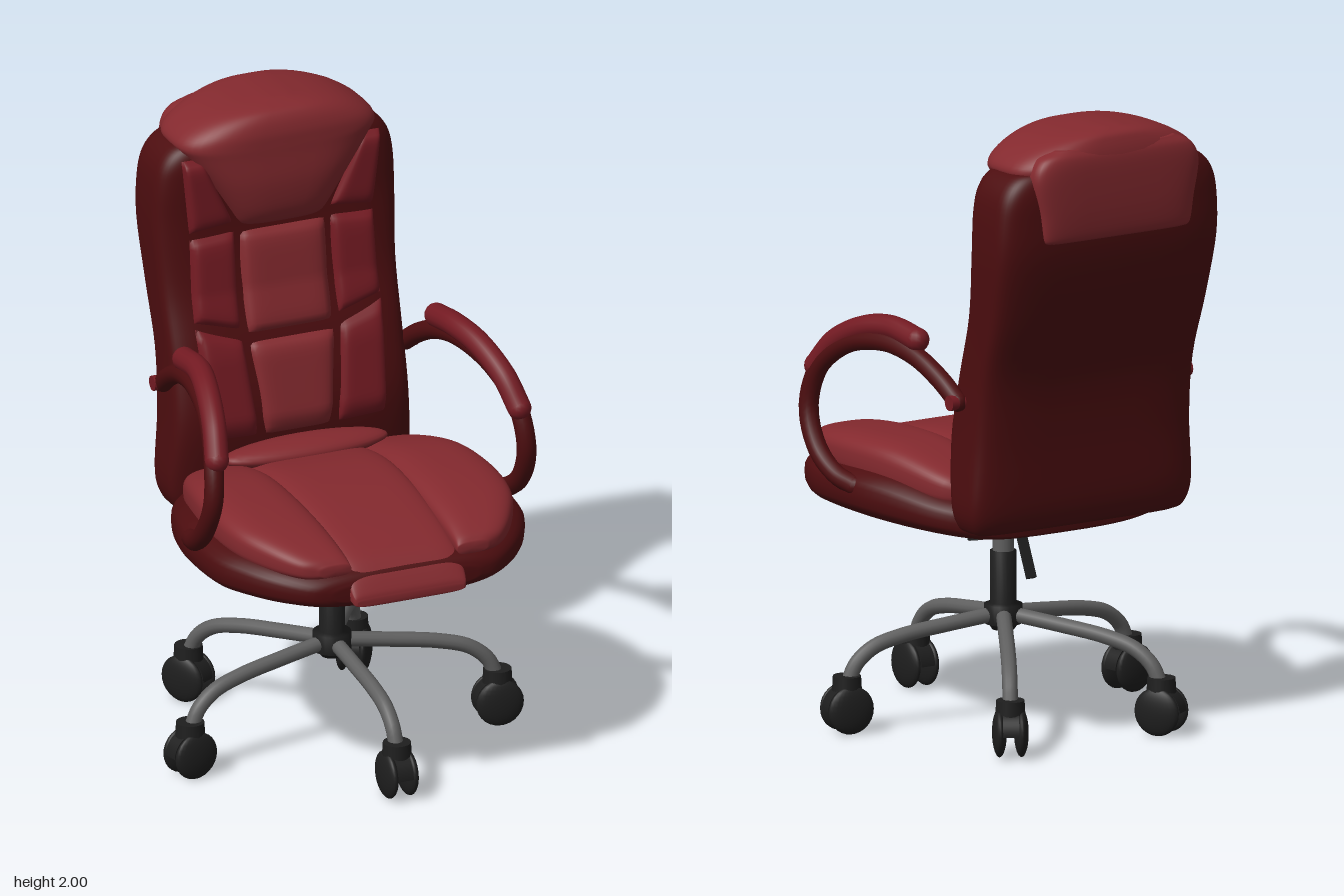
import * as THREE from 'three';

const mat = (color) => new THREE.MeshStandardMaterial({ color, side: THREE.DoubleSide });
const red = mat(0x83292e), wine = mat(0x731a22), dark = mat(0x4c0d0f);
const steel = mat(0x606060), black = mat(0x1e1e1e);
const V = (x, y, z) => new THREE.Vector3(x, y, z);

function add(parent, name, geometry, material, x = 0, y = 0, z = 0) {
  const mesh = new THREE.Mesh(geometry, material);
  mesh.name = name;
  mesh.position.set(x, y, z);
  parent.add(mesh);
  return mesh;
}

// Smooth body from superellipse sections along 'y' or 'z'.
// Each row: [position, centre x, half width, low, high]; rows ascend.
function loft(axis, rows, n = 3, seg = 48, steps = 40) {
  const a = new THREE.CatmullRomCurve3(rows.map(r => V(r[0], r[1], r[2])), false, 'catmullrom');
  const b = new THREE.CatmullRomCurve3(rows.map(r => V(r[3], r[4], 0)), false, 'catmullrom');
  const pos = [], idx = [];
  const pw = (c) => Math.sign(c) * Math.abs(c) ** (2 / n);
  const put = (x, q, t) => axis === 'z' ? pos.push(x, q, t) : pos.push(x, t, q);
  const tri = (i, j, k) => axis === 'z' ? idx.push(i, j, k) : idx.push(i, k, j);
  for (let i = 0; i <= steps; i++) {
    const p = a.getPoint(i / steps), q = b.getPoint(i / steps);
    for (let j = 0; j < seg; j++) {
      const th = j / seg * Math.PI * 2;
      put(p.y + p.z * pw(Math.cos(th)), (q.x + q.y) / 2 + (q.y - q.x) / 2 * pw(Math.sin(th)), p.x);
    }
  }
  const end = steps * seg, c0 = end + seg;
  for (const r of [rows[0], rows[rows.length - 1]]) put(r[1], (r[3] + r[4]) / 2, r[0]);
  for (let j = 0; j < seg; j++) {
    const k = (j + 1) % seg;
    for (let i = 0; i < steps; i++) {
      const o = i * seg;
      tri(o + j, o + k, o + seg + j);
      tri(o + k, o + seg + k, o + seg + j);
    }
    tri(c0, k, j);
    tri(c0 + 1, end + j, end + k);
  }
  const g = new THREE.BufferGeometry();
  g.setAttribute('position', new THREE.Float32BufferAttribute(pos, 3));
  g.setIndex(idx);
  g.computeVertexNormals();
  return g;
}

// Backrest sections: the last value is the front face depth
const shell = [
  [0.70, 0, 0.36, -0.40, -0.29], [0.72, 0, 0.39, -0.43, -0.26], [0.80, 0, 0.41, -0.45, -0.245],
  [1.00, 0, 0.40, -0.46, -0.225], [1.20, 0, 0.395, -0.485, -0.265], [1.40, 0, 0.40, -0.55, -0.325],
  [1.60, 0, 0.41, -0.60, -0.35], [1.74, 0, 0.405, -0.61, -0.35], [1.82, 0, 0.385, -0.61, -0.35],
  [1.87, 0, 0.34, -0.60, -0.36], [1.885, 0, 0.28, -0.58, -0.38]];
function frontZ(y) {
  let i = 1;
  while (i < shell.length - 1 && shell[i][0] < y) i++;
  const p = shell[i - 1], q = shell[i];
  return THREE.MathUtils.mapLinear(y, p[0], q[0], p[4], q[4]);
}

// Padded patch on the backrest: corners bottom left, bottom right, top right, top left
function padPatch([bl, br, tr, tl], height) {
  const g = new THREE.PlaneGeometry(1, 1, 18, 18), p = g.attributes.position;
  for (let i = 0; i < p.count; i++) {
    const u = p.getX(i) + 0.5, v = p.getY(i) + 0.5;
    const at = (k) => (bl[k] * (1 - u) + br[k] * u) * (1 - v) + (tl[k] * (1 - u) + tr[k] * u) * v;
    const swell = Math.sqrt(Math.max(0, (1 - (2 * u - 1) ** 6) * (1 - (2 * v - 1) ** 6)));
    p.setXYZ(i, at(0), at(1), frontZ(at(1)) - 0.008 + height * swell);
  }
  g.computeVertexNormals();
  return g;
}

function buildSeat(root) {
  const seat = new THREE.Group();
  seat.name = 'seat';
  root.add(seat);
  add(seat, 'seatBase', loft('z', [
    [-0.31, 0, 0.30, 0.66, 0.74], [-0.29, 0, 0.37, 0.65, 0.79], [-0.2, 0, 0.44, 0.65, 0.82], [-0.05, 0, 0.50, 0.65, 0.86],
    [0.1, 0, 0.53, 0.655, 0.87], [0.3, 0, 0.525, 0.66, 0.86], [0.42, 0, 0.48, 0.67, 0.85],
    [0.52, 0, 0.41, 0.68, 0.83], [0.59, 0, 0.32, 0.69, 0.80], [0.61, 0, 0.24, 0.71, 0.77]], 3), dark);
  add(seat, 'centreCushion', loft('z', [
    [-0.27, 0, 0.17, 0.76, 0.83], [-0.2, 0, 0.2, 0.75, 0.87], [0, 0, 0.205, 0.75, 0.917], [0.2, 0, 0.205, 0.75, 0.915],
    [0.4, 0, 0.2, 0.74, 0.88], [0.53, 0, 0.195, 0.72, 0.84], [0.59, 0, 0.195, 0.705, 0.80],
    [0.63, 0, 0.19, 0.70, 0.75], [0.64, 0, 0.18, 0.705, 0.725]], 5), red);
  for (const s of [1, -1]) {
    // Side cushions: inner edge near the centre panel, outer edge follows the base
    const rows = [[-0.27, 0.32, 0.78, 0.82], [-0.2, 0.40, 0.76, 0.87], [0, 0.46, 0.77, 0.925], [0.2, 0.48, 0.78, 0.93],
      [0.36, 0.465, 0.785, 0.915], [0.48, 0.41, 0.785, 0.89], [0.56, 0.345, 0.79, 0.86], [0.59, 0.28, 0.80, 0.835]]
      .map(([z, out, lo, hi]) => [z, s * (out + 0.18) / 2, (out - 0.18) / 2, lo, hi]);
    add(seat, 'sideCushion', loft('z', rows, 3), red);
  }
  // Soft roll where the seat meets the backrest
  const roll = add(seat, 'rearRoll', new THREE.SphereGeometry(1, 32, 16), red, 0, 0.895, -0.175);
  roll.scale.set(0.28, 0.04, 0.075);
}

function buildBack(root) {
  const back = new THREE.Group();
  back.name = 'backrest';
  root.add(back);
  add(back, 'backShell', loft('y', shell, 5, 64, 50), dark);
  // Centre column of pads
  add(back, 'lowerCentrePad', padPatch([[-0.115, 0.93], [0.115, 0.93], [0.15, 1.24], [-0.15, 1.24]], 0.032), red);
  add(back, 'upperCentrePad', padPatch([[-0.148, 1.255], [0.148, 1.255], [0.148, 1.585], [-0.148, 1.585]], 0.032), red);
  // Side columns, mirrored
  const sides = [
    ['lowerSidePad', [[0.13, 0.93], [0.30, 0.94], [0.315, 1.295], [0.163, 1.25]]],
    ['upperSidePad', [[0.163, 1.27], [0.315, 1.315], [0.31, 1.575], [0.16, 1.59]]],
    ['topSidePad', [[0.16, 1.61], [0.31, 1.595], [0.335, 1.84], [0.27, 1.84]]]];
  for (const [name, [a, b, c, d]] of sides) {
    add(back, name, padPatch([a, b, c, d], 0.03), wine);
    add(back, name, padPatch([b, a, d, c].map(([x, y]) => [-x, y]), 0.03), wine);
  }
  // Headrest wraps over the top, with a flap down the rear
  add(back, 'headrest', loft('y', [
    [1.595, 0, 0.13, -0.45, -0.345], [1.61, 0, 0.15, -0.48, -0.32], [1.66, 0, 0.18, -0.52, -0.295],
    [1.75, 0, 0.24, -0.56, -0.28], [1.84, 0, 0.31, -0.61, -0.28], [1.88, 0, 0.335, -0.635, -0.28], [1.92, 0, 0.305, -0.635, -0.282],
    [1.96, 0, 0.235, -0.625, -0.295], [1.985, 0, 0.15, -0.61, -0.32], [2.0, 0, 0.04, -0.57, -0.38]], 3.2), red);
  add(back, 'headrestFlap', loft('y', [
    [1.655, 0, 0.25, -0.61, -0.56], [1.67, 0, 0.27, -0.628, -0.54], [1.75, 0, 0.285, -0.638, -0.5],
    [1.86, 0, 0.305, -0.64, -0.48], [1.92, 0, 0.28, -0.635, -0.47], [1.95, 0, 0.22, -0.62, -0.47]], 5), red);
}

function buildArm(root, s) {
  const arm = new THREE.Group();
  arm.name = s > 0 ? 'leftArmrest' : 'rightArmrest';
  root.add(arm);
  const tube = (name, pts, r, m) => {
    const c = new THREE.CatmullRomCurve3(pts.map(p => V(p[0] * s, p[1], p[2])));
    add(arm, name, new THREE.TubeGeometry(c, 48, r, 14), m);
    for (const t of [0, 1]) add(arm, name + 'End', new THREE.SphereGeometry(r, 14, 10), m, ...c.getPoint(t).toArray());
  };
  tube('armLoop', [[0.41, 1.125, -0.33], [0.42, 1.18, -0.25], [0.435, 1.235, -0.13], [0.455, 1.255, 0.02],
    [0.485, 1.22, 0.18], [0.515, 1.13, 0.29], [0.53, 1.0, 0.325], [0.535, 0.88, 0.27], [0.525, 0.81, 0.18], [0.505, 0.785, 0.1]], 0.031, dark);
  tube('armPad', [[0.427, 1.285, -0.13], [0.435, 1.3, 0], [0.46, 1.28, 0.12], [0.49, 1.215, 0.24], [0.512, 1.13, 0.31]], 0.038, wine);
  const joint = add(arm, 'armJoint', new THREE.CylinderGeometry(0.024, 0.024, 0.08, 16), wine, 0.405 * s, 1.125, -0.335);
  joint.rotation.z = Math.PI / 2;
}

function buildCaster(base, x, z, angle) {
  const caster = new THREE.Group();
  caster.name = 'caster';
  caster.position.set(x, 0, z);
  caster.rotation.y = angle; // rolls along local z
  base.add(caster);
  add(caster, 'casterStem', new THREE.CylinderGeometry(0.044, 0.048, 0.07, 20), black, 0, 0.145, 0);
  const hood = add(caster, 'casterHood', new THREE.CylinderGeometry(0.074, 0.074, 0.05, 24, 1, false, 0, Math.PI), black, 0, 0.076, 0);
  hood.rotation.z = Math.PI / 2;
  for (const s of [-1, 1]) {
    const wheel = add(caster, 'wheel', new THREE.SphereGeometry(0.076, 24, 14), black, s * 0.034, 0.076, 0);
    wheel.scale.x = 0.3;
  }
}

function buildBase(root) {
  const base = new THREE.Group();
  base.name = 'base';
  root.add(base);
  const hz = 0.035;
  // Gas lift column
  const profile = [[0, 0.28], [0.035, 0.28], [0.045, 0.295], [0.06, 0.3], [0.06, 0.36], [0.041, 0.365], [0.041, 0.53], [0, 0.53]];
  add(base, 'column', new THREE.LatheGeometry(profile.map(p => new THREE.Vector2(...p)), 24), black, 0, 0, hz);
  add(base, 'piston', new THREE.CylinderGeometry(0.033, 0.033, 0.13, 20), steel, 0, 0.585, hz);
  // Tilt mechanism
  const plate = new THREE.CylinderGeometry(0.205, 0.19, 0.035, 8).rotateY(Math.PI / 8).scale(0.85, 1, 1);
  add(base, 'tiltPlate', plate, black, 0, 0.653, 0.08);
  const knob = add(base, 'tensionKnob', new THREE.CylinderGeometry(0.04, 0.045, 0.11, 16), black, 0, 0.595, 0.165);
  knob.rotation.x = 0.2;
  const lever = add(base, 'lever', new THREE.BoxGeometry(0.03, 0.19, 0.016), black, -0.03, 0.545, -0.04);
  lever.rotation.x = 0.42;
  // Five bent legs with casters
  for (const [x, z] of [[0, 0.53], [0.52, 0.125], [-0.52, 0.125], [0.28, -0.43], [-0.28, -0.43]]) {
    const at = (f, y) => V(x * f, y, hz + (z - hz) * f);
    const path = new THREE.CatmullRomCurve3([at(0.05, 0.33), at(0.35, 0.312), at(0.65, 0.29), at(0.83, 0.262), at(0.94, 0.215), at(0.99, 0.16)]);
    add(base, 'leg', new THREE.TubeGeometry(path, 32, 0.024, 12), steel);
    buildCaster(base, x, z, Math.atan2(x, z - hz));
  }
}

export function createModel() {
  const root = new THREE.Group();
  root.name = 'officeChair';
  buildSeat(root);
  buildBack(root);
  buildArm(root, 1);
  buildArm(root, -1);
  buildBase(root);
  return root;
}
